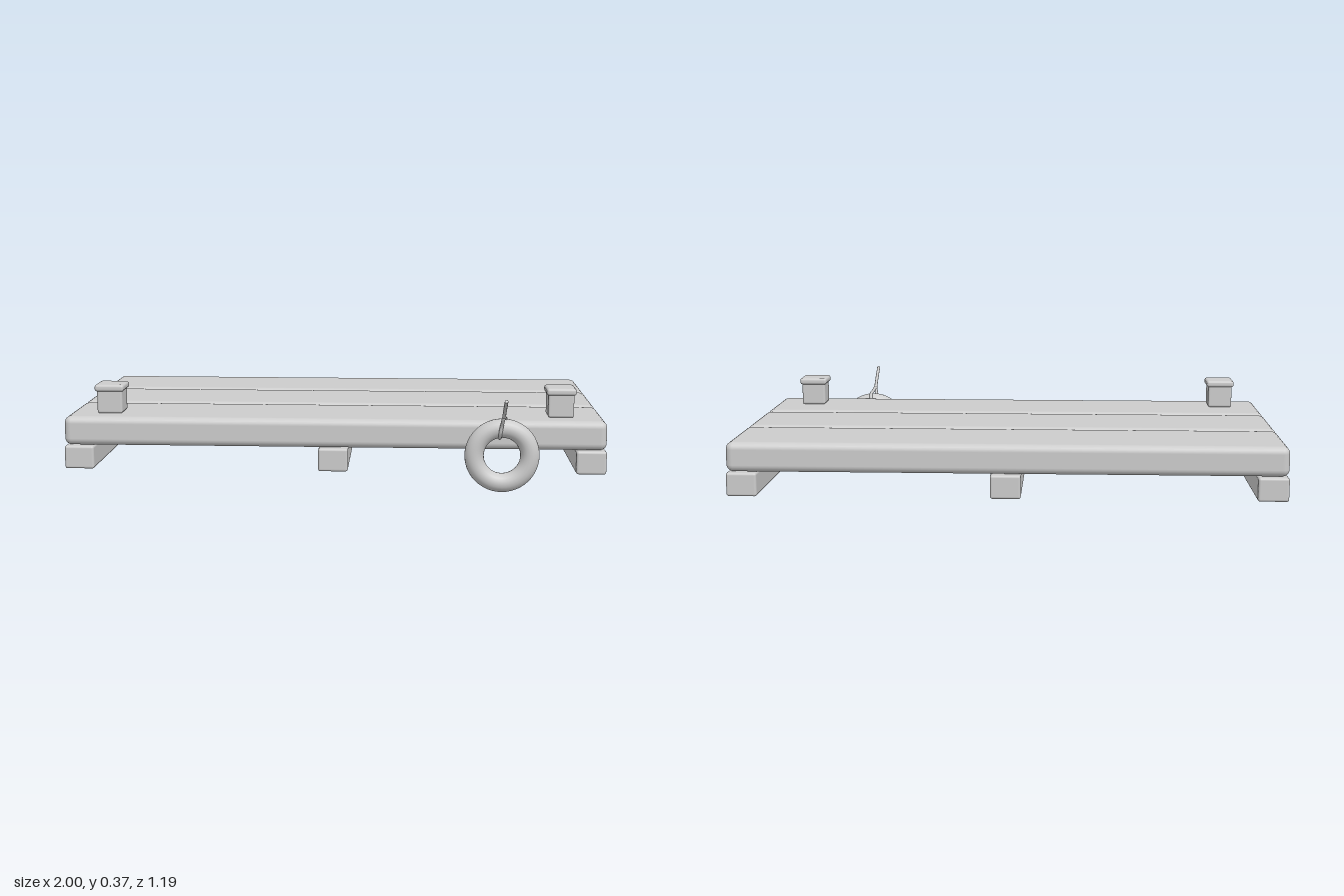
import * as THREE from 'three';
import { RoundedBoxGeometry } from 'three/addons/geometries/RoundedBoxGeometry.js';

export function createModel() {
  const model = new THREE.Group();
  model.name = 'dock';
  const grey = new THREE.MeshStandardMaterial({ color: 0xcccccc });
  grey.name = 'light grey';

  const add = (name, geometry, x, y, z) => {
    const mesh = new THREE.Mesh(geometry, grey);
    mesh.name = name;
    mesh.position.set(x, y, z);
    model.add(mesh);
    return mesh;
  };
  const box = (name, w, h, d, r, x, y, z) =>
    add(name, new RoundedBoxGeometry(w, h, d, 3, r), x, y, z);

  // Three long deck planks with soft edges
  for (const z of [-0.428, -0.094, 0.242]) box('plank', 2, 0.108, 0.327, 0.026, 0, 0.207, z);

  // Cross beams under the deck
  for (const x of [-0.945, 0, 0.945]) box('beam', 0.11, 0.086, 0.997, 0.009, x, 0.108, -0.093);

  // Mooring posts with caps
  for (const x of [-0.842, 0.838]) {
    box('post', 0.095, 0.1, 0.095, 0.008, x, 0.311, 0.28);
    box('postCap', 0.11, 0.026, 0.11, 0.01, x, 0.357, 0.28);
  }

  // Float ring hanging on the front edge
  add('floatRing', new THREE.TorusGeometry(0.101, 0.035, 20, 48), 0.617, 0.14, 0.432);

  // Rope: a loop round the ring and a loose end reaching forward
  const rope = (name, points, closed) => {
    const curve = new THREE.CatmullRomCurve3(
      points.map(([y, z, x = 0]) => new THREE.Vector3(x, y, z)), closed);
    add(name, new THREE.TubeGeometry(curve, 40, 0.0065, 8, closed), 0.617, 0, 0);
  };
  rope('ropeLoop', [
    [0.292, 0.492], [0.283, 0.462, 0.006], [0.276, 0.432, 0.01], [0.262, 0.404, 0.008],
    [0.235, 0.396], [0.21, 0.412, -0.006], [0.206, 0.442, -0.01], [0.226, 0.465, -0.01],
    [0.255, 0.473, -0.006],
  ], true);
  rope('ropeEnd', [[0.289, 0.488], [0.315, 0.517], [0.343, 0.555], [0.367, 0.59]], false);

  // Flat end of the rope
  const end = add('ropeTip', new THREE.CircleGeometry(0.0065, 8), 0.617, 0.367, 0.59);
  end.rotation.x = -0.6;

  return model;
}
